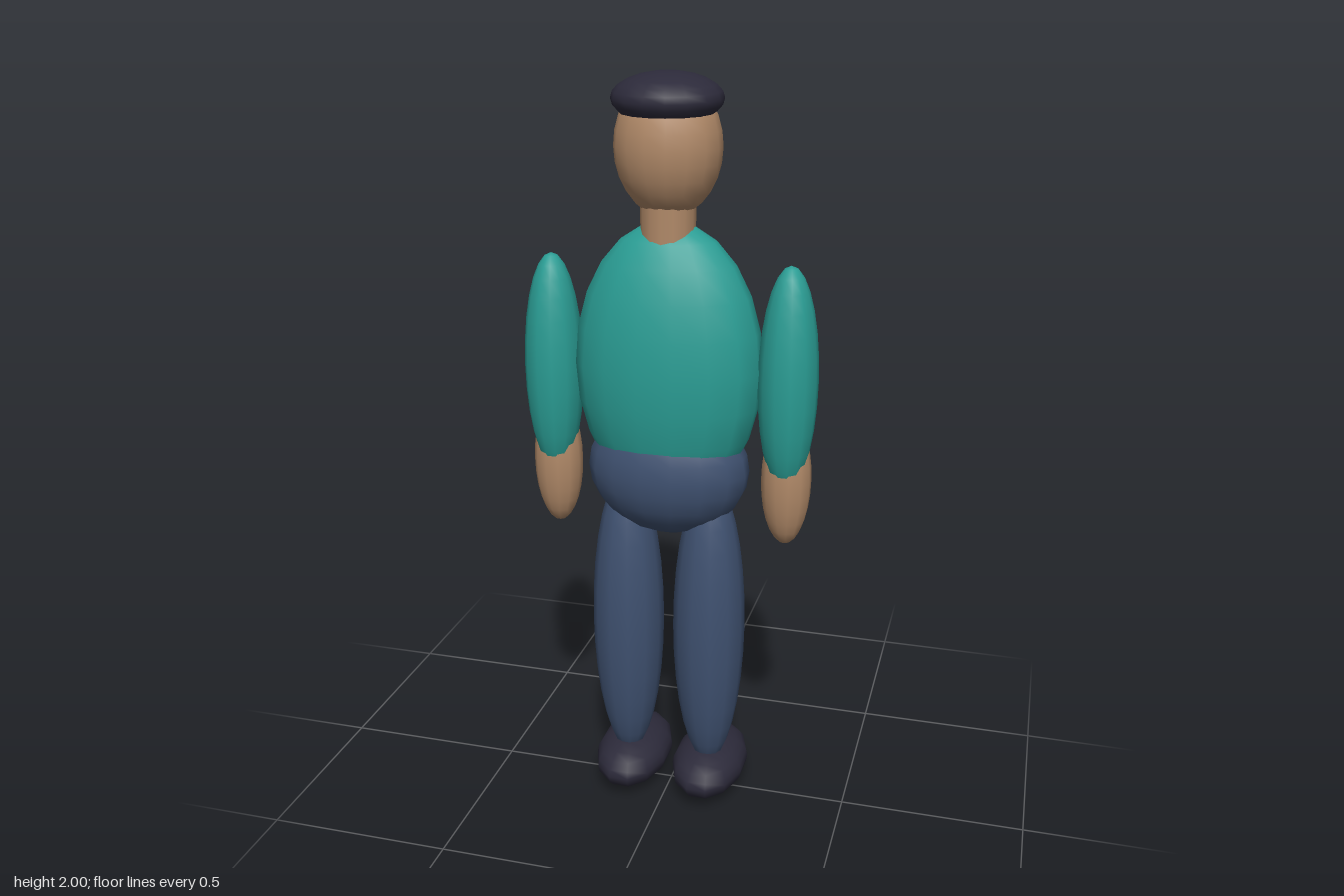
import * as THREE from 'three';

const mat = (name, color) => {
  const m = new THREE.MeshStandardMaterial({ color });
  m.name = name;
  return m;
};

export function createModel() {
  const group = new THREE.Group();
  const skin = mat('skin', 0xb08968);
  const shirt = mat('shirtTeal', 0x2a9d94);
  const denim = mat('denim', 0x3f5170);
  const dark = mat('darkCloth', 0x2c2a3a);

  // Ellipsoid with flats on the x and z axes; radii measure to the flats
  function ellipsoid(name, material, [x, y, z], [rx, ry, rz], sides = 12, rings = 12) {
    const k = 1 / Math.cos(Math.PI / sides);
    const geo = new THREE.SphereGeometry(1, sides, rings);
    geo.rotateY(Math.PI / sides);
    geo.scale(rx * k, ry, rz * k);
    const mesh = new THREE.Mesh(geo, material);
    mesh.name = name;
    mesh.position.set(x, y, z);
    group.add(mesh);
    return mesh;
  }

  // Body
  ellipsoid('torso', shirt, [0, 1.26, 0.029], [0.244, 0.38, 0.147], 16, 12);
  ellipsoid('hips', denim, [0, 0.98, 0.03], [0.214, 0.18, 0.136], 16, 12);

  // Neck, sunk into the torso
  const neck = new THREE.Mesh(new THREE.CylinderGeometry(0.07, 0.07, 0.16, 14), skin);
  neck.name = 'neck';
  neck.position.set(0, 1.62, 0.033);
  group.add(neck);

  // Head, facing -z
  ellipsoid('head', skin, [0, 1.82, 0.033], [0.134, 0.175, 0.122], 16, 14);
  const cap = ellipsoid('cap', dark, [0, 1.936, 0.04], [0.138, 0.064, 0.123], 16, 12);
  cap.rotation.x = 0.05;
  ellipsoid('nose', skin, [0, 1.802, -0.1], [0.026, 0.035, 0.035]);

  // Paired parts
  for (const [side, s] of [['left', 1], ['right', -1]]) {
    ellipsoid(side + 'Eye', dark, [s * 0.05, 1.855, -0.08], [0.016, 0.013, 0.011]);
    ellipsoid(side + 'Sleeve', shirt, [s * 0.315, 1.24, 0.029], [0.075, 0.3, 0.078], 12, 14);
    ellipsoid(side + 'Forearm', skin, [s * 0.315, 0.97, 0.015], [0.064, 0.18, 0.059], 12, 14);
    ellipsoid(side + 'Leg', denim, [s * 0.115, 0.53, 0.033], [0.095, 0.43, 0.095], 12, 16);
    ellipsoid(side + 'Shoe', dark, [s * 0.113, 0.077, -0.008], [0.1, 0.074, 0.17], 12, 12);
  }

  return group;
}
